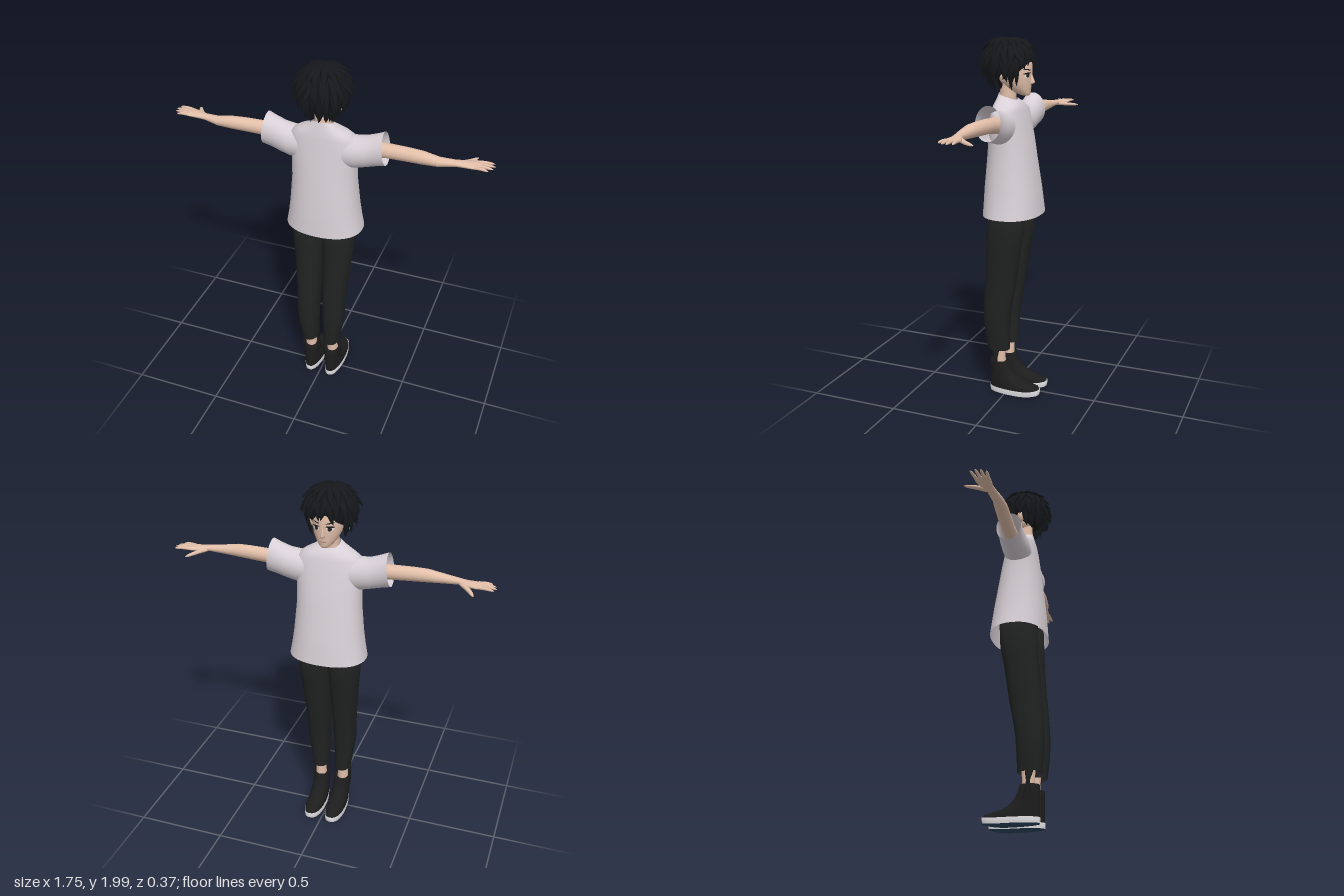
import * as THREE from 'three';

const mat = (name, color, side = THREE.FrontSide) =>
  Object.assign(new THREE.MeshStandardMaterial({ color, side }), { name });
const M = {
  skin: mat('skin', 0xe2bfa9),
  shirt: mat('shirt fabric', 0xd8d0d6, THREE.DoubleSide),
  pants: mat('trouser fabric', 0x212222, THREE.DoubleSide),
  hair: mat('hair', 0x15171a, THREE.DoubleSide),
  shoe: mat('shoe leather', 0x1d1d1e, THREE.DoubleSide),
  sole: mat('sole rubber', 0xd6d4d6),
  tread: mat('tread blue', 0x2c4660),
  white: mat('eye white', 0xe6e4e4),
  iris: mat('iris', 0x2a2526),
  lip: mat('lip', 0xb5857a),
};

// Skin a list of sections; point(section, cos, sin) gives a position
function loft(sections, n, point) {
  const pos = [], idx = [];
  sections.forEach((s, i) => {
    for (let j = 0; j < n; j++) {
      const a = (j / n) * Math.PI * 2;
      pos.push(...point(s, Math.cos(a), Math.sin(a)));
      if (!i) continue;
      const k = (j + 1) % n, p = (i - 1) * n, q = i * n;
      idx.push(p + j, p + k, q + k, p + j, q + k, q + j);
    }
  });
  const g = new THREE.BufferGeometry();
  g.setAttribute('position', new THREE.Float32BufferAttribute(pos, 3));
  g.setIndex(idx);
  g.computeVertexNormals();
  return g;
}
const sq = (v, e) => Math.sign(v) * Math.abs(v) ** e;
// Upright section: [y, cx, cz, rx, rz, tilt]
const upright = (e = 1) => ([y, cx, cz, rx, rz, tilt = 0], c, s) =>
  [cx + rx * sq(c, e), y - tilt * s, cz - rz * sq(s, e)];
// Sideways section: [x, y, z, ry, rz, skew]
const sideways = ([x, y, z, ry, rz, skew = 0], c, s) => [x - skew * c, y + ry * c, z + rz * s];

// Tapered strand along a curve, flat against the given normal
function strand(points, normal, width, thick, profile, n = 6, steps = 7) {
  const curve = new THREE.CatmullRomCurve3(points);
  const ts = Array.from({ length: steps + 1 }, (_, i) => i / steps);
  const frames = ts.map((t) => {
    const T = curve.getTangent(t);
    const B = normal.clone().addScaledVector(T, -normal.dot(T)).normalize();
    return { P: curve.getPoint(t), A: B.clone().cross(T), B, k: profile(t) };
  });
  return loft(frames, n, (f, c, s) => f.P.clone()
    .addScaledVector(f.A, c * width * f.k).addScaledVector(f.B, s * thick * f.k).toArray());
}

function mirror(g) {
  const m = g.clone().scale(-1, 1, 1), a = m.index.array;
  for (let i = 0; i < a.length; i += 3) [a[i], a[i + 1]] = [a[i + 1], a[i]];
  m.computeVertexNormals();
  return m;
}
function add(parent, name, g, material) {
  const mesh = new THREE.Mesh(g, material);
  mesh.name = name;
  parent.add(mesh);
}
function addPair(parent, name, g, material) {
  add(parent, 'left ' + name, g, material);
  add(parent, 'right ' + name, mirror(g), material);
}
const V = (x, y, z) => new THREE.Vector3(x, y, z);

// Head sections, also used to lay the features on the face
const HEAD = [[1.69, 0, -0.082, 0.001, 0.001], [1.692, 0, -0.08, 0.018, 0.022], [1.705, 0, -0.066, 0.036, 0.042],
  [1.73, 0, -0.045, 0.056, 0.065], [1.76, 0, -0.03, 0.071, 0.083], [1.8, 0, -0.02, 0.081, 0.095],
  [1.85, 0, -0.01, 0.086, 0.105], [1.91, 0, 0, 0.08, 0.1], [1.95, 0, 0, 0.001, 0.001]];
function faceZ(x, y) {
  const i = HEAD.findIndex((r) => r[0] > y), a = HEAD[i - 1], b = HEAD[i];
  const [, , cz, rx, rz] = a.map((v, k) => v + (b[k] - v) * (y - a[0]) / (b[0] - a[0]));
  return cz - rz * Math.sqrt(Math.max(0, 1 - (x / rx) ** 2));
}
function facePatch(cx, cy, w, h, lift, slope = 0) {
  const g = new THREE.CircleGeometry(1, 16).scale(w, h, 1).rotateY(Math.PI), p = g.attributes.position;
  for (let i = 0; i < p.count; i++) {
    const x = cx + p.getX(i), y = cy + p.getY(i) + slope * p.getX(i);
    p.setXYZ(i, x, y, faceZ(x, y) - lift);
  }
  g.computeVertexNormals();
  return g;
}

function buildHead() {
  const head = new THREE.Group();
  head.name = 'head';
  add(head, 'face', loft(HEAD, 28, upright()), M.skin);
  add(head, 'neck', loft([[1.6, 0, 0.02, 0.055, 0.05], [1.68, 0, 0.018, 0.043, 0.043], [1.78, 0, 0.01, 0.045, 0.048]],
    20, upright()), M.skin);
  add(head, 'nose', loft([[1.748, 0, -0.108, 0.001, 0.001], [1.754, 0, -0.113, 0.013, 0.016],
    [1.763, 0, -0.114, 0.009, 0.02], [1.8, 0, -0.111, 0.004, 0.008], [1.815, 0, -0.108, 0.001, 0.001]], 10, upright()), M.skin);
  addPair(head, 'ear', new THREE.SphereGeometry(1, 12, 10).scale(0.016, 0.032, 0.02).rotateZ(-0.2).translate(0.094, 1.79, 0.008), M.skin);
  addPair(head, 'eye white', facePatch(0.036, 1.798, 0.018, 0.011, 0.0015), M.white);
  addPair(head, 'iris', facePatch(0.035, 1.798, 0.01, 0.011, 0.003), M.iris);
  addPair(head, 'upper lash', facePatch(0.037, 1.809, 0.021, 0.004, 0.004, -0.1), M.hair);
  addPair(head, 'eyebrow', facePatch(0.037, 1.828, 0.021, 0.003, 0.003, 0.15), M.hair);
  add(head, 'mouth', facePatch(0, 1.727, 0.018, 0.0025, 0.002), M.lip);
  return head;
}

function buildHair() {
  const hair = new THREE.Group();
  hair.name = 'hair';
  let seed = 7;
  const rnd = (a) => ((seed = (seed * 16807) % 2147483647) / 2147483647 - 0.5) * 2 * a;
  const D = Math.PI / 180;
  // azimuth 0 is the back of the head
  const at = (az, el, k) => V(0.125 * Math.cos(el * D) * Math.sin(az * D) * k,
    1.875 + 0.116 * Math.sin(el * D) * k, 0.015 + 0.13 * Math.cos(el * D) * Math.cos(az * D) * k);
  add(hair, 'scalp hair', new THREE.SphereGeometry(1, 28, 20).scale(0.123, 0.115, 0.127).translate(0, 1.875, 0.015), M.hair);
  const taper = (t) => (1 - t) ** 0.7 * (0.6 + 0.9 * t) + 0.01;
  // [first azimuth, last azimuth, count, root elevation, tip elevation, tip reach, width]
  const layers = [
    [0, 340, 15, 82, 22, 1.17, 0.03],
    [-130, 130, 19, 48, -12, 1.28, 0.03],
    [-112, 112, 17, 18, -38, 1.34, 0.028],
    [-82, 82, 13, -8, -62, 1.48, 0.026],
    [112, 128, 3, 25, -56, 1.45, 0.022],
    [-128, -112, 3, 25, -56, 1.45, 0.022],
    [134, 226, 9, 55, -18, 1.17, 0.026],
  ];
  layers.forEach(([a0, a1, count, r, t, reach, w], layer) => {
    for (let i = 0; i < count; i++) {
      const az = a0 + (a1 - a0) * i / (count - 1) + rnd(4), tipAz = az + rnd(10);
      const tip = t + rnd(8), mid = r + (tip - r) * 0.55;
      const pts = [at(az, r, 0.95), at(az, mid, 1.06 + rnd(0.03)), at(tipAz, tip, reach + rnd(0.07))];
      add(hair, `lock ${layer + 1}-${i + 1}`, strand(pts, at(az, mid, 1).sub(V(0, 1.875, 0.015)).normalize(), w, 0.012, taper), M.hair);
    }
  });
  return hair;
}

function buildShirt() {
  const shirt = new THREE.Group();
  shirt.name = 'shirt';
  add(shirt, 'shirt body', loft([[1.05, 0, -0.018, 0.213, 0.157], [1.12, 0, -0.016, 0.2, 0.151], [1.2, 0, -0.013, 0.189, 0.144],
    [1.35, 0, -0.008, 0.176, 0.124], [1.46, 0, -0.004, 0.177, 0.108], [1.55, 0, 0.002, 0.188, 0.09], [1.61, 0, 0.005, 0.182, 0.079],
    [1.64, 0, 0.008, 0.135, 0.072, 0.003], [1.665, 0, 0.011, 0.085, 0.06, 0.01], [1.685, 0, 0.015, 0.052, 0.05, 0.018]],
  40, upright(0.88)), M.shirt);
  addPair(shirt, 'sleeve', loft([[0.1, 1.53, 0.003, 0.09, 0.075], [0.18, 1.54, 0.001, 0.087, 0.078, 0.004],
    [0.23, 1.55, -0.002, 0.084, 0.073, 0.007], [0.28, 1.566, -0.004, 0.086, 0.068, 0.009], [0.325, 1.58, -0.005, 0.09, 0.07, 0.011]],
  28, sideways), M.shirt);
  return shirt;
}

function buildArms() {
  const arms = new THREE.Group();
  arms.name = 'arms';
  addPair(arms, 'arm and palm', loft([[0.16, 1.55, -0.004, 0.045, 0.042], [0.33, 1.57, -0.008, 0.039, 0.038], [0.45, 1.573, -0.002, 0.037, 0.036],
    [0.52, 1.573, 0.002, 0.034, 0.035], [0.6, 1.568, 0.004, 0.025, 0.028], [0.68, 1.57, -0.009, 0.016, 0.023],
    [0.72, 1.568, -0.02, 0.015, 0.031], [0.77, 1.569, -0.027, 0.012, 0.041], [0.795, 1.57, -0.027, 0.009, 0.038], [0.803, 1.57, -0.027, 0.001, 0.03]],
  20, sideways), M.skin);
  const finger = (t) => Math.sqrt(Math.max(0.002, 1 - t ** 5)) * (1 - 0.25 * t);
  [[-0.056, 0.864, -0.07], [-0.036, 0.873, -0.043], [-0.017, 0.866, -0.016], [0.002, 0.846, 0.01]].forEach(([z, x, tip], i) =>
    addPair(arms, `finger ${i + 1}`, strand([V(0.775, 1.57, z), V((0.775 + x) / 2, 1.572, (z + tip) / 2), V(x, 1.568, tip)],
      V(0, 1, 0), 0.01, 0.009, finger, 8), M.skin));
  addPair(arms, 'thumb', strand([V(0.695, 1.565, -0.025), V(0.74, 1.557, -0.075), V(0.772, 1.552, -0.13)],
    V(0, 1, 0), 0.015, 0.011, finger, 8), M.skin);
  return arms;
}

function buildLegs() {
  const legs = new THREE.Group();
  legs.name = 'legs';
  addPair(legs, 'trouser leg', loft([[0.26, 0.066, 0.05, 0.044, 0.064], [0.35, 0.072, 0.054, 0.052, 0.07], [0.45, 0.077, 0.055, 0.061, 0.076],
    [0.55, 0.077, 0.046, 0.064, 0.082], [0.65, 0.077, 0.033, 0.067, 0.088], [0.85, 0.082, 0.012, 0.078, 0.094], [0.95, 0.085, 0, 0.086, 0.102],
    [1.12, 0.083, -0.005, 0.088, 0.105], [1.13, 0.08, 0, 0.001, 0.001]], 24, upright(0.85)), M.pants);
  addPair(legs, 'ankle', loft([[0.14, 0.068, 0.042, 0.034, 0.035], [0.22, 0.068, 0.043, 0.03, 0.033], [0.32, 0.07, 0.045, 0.036, 0.04]], 16, upright()), M.skin);
  // Soles and uppers share a footprint with a lifted toe
  const foot = ([y, front, rx, back = 0.1], c, s) => {
    const z = (back + front) / 2 - (back - front) / 2 * sq(s, 0.85);
    const lift = 0.9 * Math.max(0, -0.08 - z) ** 2;
    return [0.063 + rx * sq(c, 0.8) * (1 - 0.12 * Math.max(0, -s)), y + lift, z];
  };
  addPair(legs, 'sole tread', loft([[0, -0.049, 0.001, -0.047], [0, -0.12, 0.03, 0.04], [0, -0.195, 0.052]], 32, foot), M.tread);
  addPair(legs, 'sole rim', loft([[0, -0.195, 0.052], [0.03, -0.199, 0.054, 0.103], [0.031, -0.18, 0.045, 0.09]], 32, foot), M.sole);
  addPair(legs, 'shoe upper', loft([[0.028, -0.194, 0.051], [0.045, -0.186, 0.051], [0.06, -0.145, 0.051], [0.075, -0.1, 0.049], [0.095, -0.06, 0.047],
    [0.125, -0.03, 0.046], [0.16, -0.012, 0.046], [0.195, -0.003, 0.046], [0.19, 0.004, 0.038, 0.09], [0.17, 0.04, 0.005, 0.05]], 32, foot), M.shoe);
  // Loose pull tabs on the outer ankle
  addPair(legs, 'pull tab', strand([V(0.108, 0.12, 0.045), V(0.114, 0.2, 0.05), V(0.103, 0.27, 0.055)], V(1, 0, 0), 0.024, 0.003,
    (t) => 0.35 + 0.65 * Math.abs(2 * t - 1)), M.shoe);
  return legs;
}

export function createModel() {
  const model = new THREE.Group();
  model.name = 'young person';
  model.add(buildHead(), buildHair(), buildShirt(), buildArms(), buildLegs());
  return model;
}
